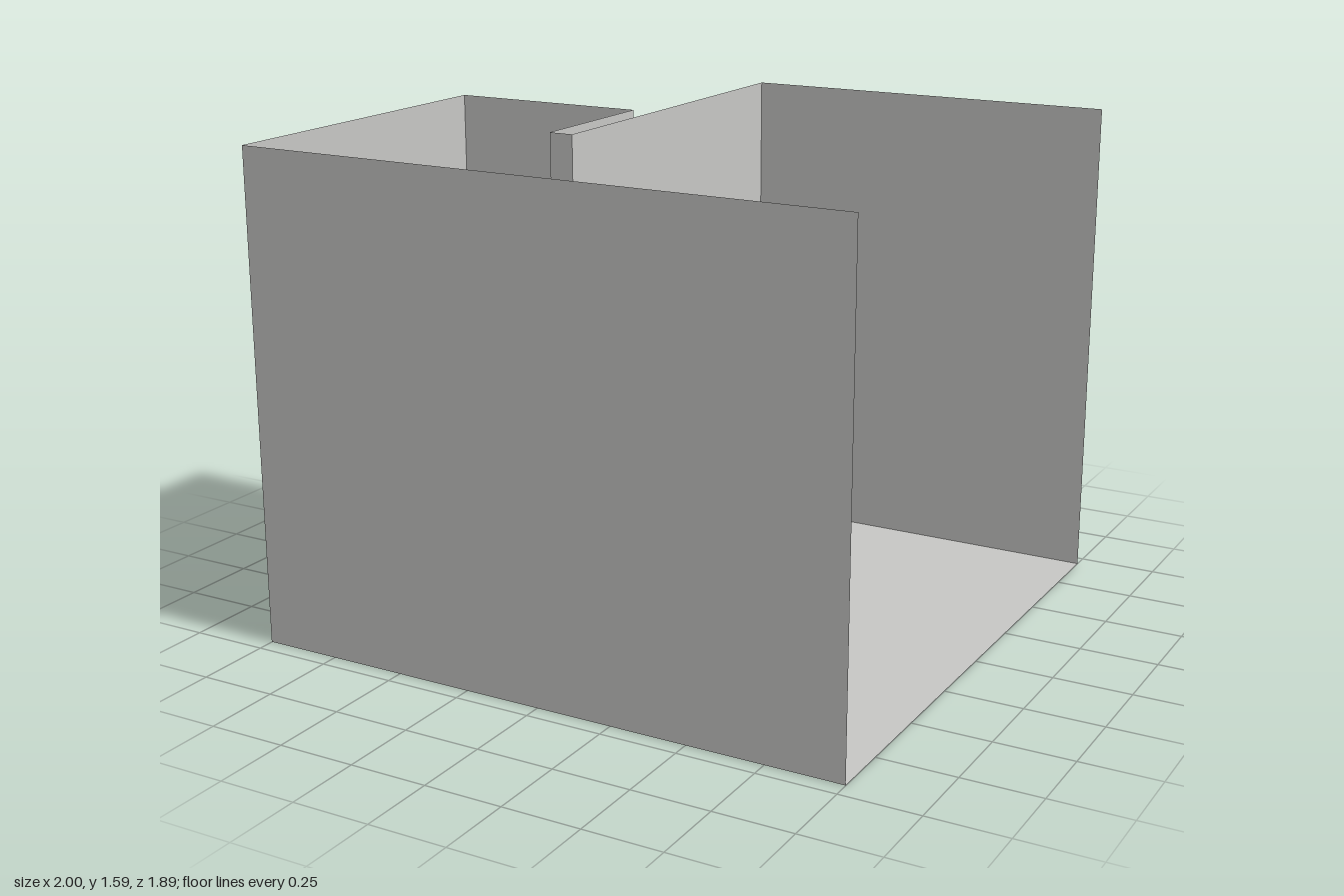
import * as THREE from 'three';
import { toCreasedNormals } from 'three/addons/utils/BufferGeometryUtils.js';

const plaster = new THREE.MeshStandardMaterial({ color: 0xc6c6c4, side: THREE.DoubleSide });
plaster.name = 'warm grey';

function add(parent, name, geometry, x = 0, y = 0, z = 0) {
  const mesh = new THREE.Mesh(geometry, plaster);
  mesh.name = name;
  mesh.position.set(x, y, z);
  parent.add(mesh);
  return mesh;
}

function group(parent, name) {
  const g = new THREE.Group();
  g.name = name;
  parent.add(g);
  return g;
}

// Round-ended outline: w = half width along x, l = half length along z
function stadium(w, l, Type = THREE.Shape) {
  const s = new Type();
  s.absarc(0, l - w, w, 0, Math.PI);
  s.absarc(0, w - l, w, Math.PI, Math.PI * 2);
  s.closePath();
  return s;
}

// Upright slab with a round-ended plan and an optional opening
function slab(w, l, height, hole) {
  const s = stadium(w, l);
  if (hole) s.holes.push(stadium(hole[0], hole[1], THREE.Path));
  const g = new THREE.ExtrudeGeometry(s, { depth: height, bevelEnabled: false, curveSegments: 16 });
  return toCreasedNormals(g.rotateX(-Math.PI / 2), 0.6);
}

// Thin round bar between two points
function rod(parent, name, a, b, r) {
  const from = new THREE.Vector3(...a), to = new THREE.Vector3(...b);
  const dir = to.clone().sub(from);
  const mesh = add(parent, name, new THREE.CylinderGeometry(r, r, dir.length(), 10));
  mesh.position.copy(from).add(to).multiplyScalar(0.5);
  mesh.quaternion.setFromUnitVectors(new THREE.Vector3(0, 1, 0), dir.normalize());
  return mesh;
}

// Bowl made of shrinking round-ended rings
function bowl(w, l, depth) {
  const outline = stadium(w, l).getSpacedPoints(48).slice(0, 48);
  const n = outline.length, rings = 10, pos = [], index = [];
  for (let k = 0; k <= rings; k++) {
    const t = (k / rings) * Math.PI / 2;
    const s = Math.max(Math.pow(Math.cos(t), 0.6), 0.001);
    for (const p of outline) pos.push(p.x * s, -depth * Math.sin(t), -p.y * s);
  }
  for (let k = 0; k < rings; k++) {
    for (let i = 0; i < n; i++) {
      const a = k * n + i, b = k * n + (i + 1) % n;
      index.push(a, a + n, b, b, a + n, b + n);
    }
  }
  const g = new THREE.BufferGeometry();
  g.setAttribute('position', new THREE.Float32BufferAttribute(pos, 3));
  g.setIndex(index);
  g.computeVertexNormals();
  return g;
}

export function createModel() {
  const model = new THREE.Group();
  model.name = 'bathroom';

  // Floor and single-sheet walls; the +x side and the top are open
  const H = 1.585;
  const plan = [[1, -0.945], [-0.25, -0.945], [-0.25, 0.31], [-0.33, 0.31],
    [-0.33, -0.19], [-1, -0.19], [-1, 0.945], [1, 0.945]];
  const floor = new THREE.Shape(plan.map(([x, z]) => new THREE.Vector2(x, -z)));
  add(model, 'floor', new THREE.ShapeGeometry(floor).rotateX(-Math.PI / 2));
  const walls = group(model, 'walls');
  for (let i = 0; i < plan.length - 1; i++) {
    const [x0, z0] = plan[i], [x1, z1] = plan[i + 1];
    const wall = add(walls, 'wall', new THREE.PlaneGeometry(Math.hypot(x1 - x0, z1 - z0), H),
      (x0 + x1) / 2, H / 2, (z0 + z1) / 2);
    wall.rotation.y = Math.atan2(z0 - z1, x1 - x0);
  }

  // Wall-hung vanity with vertical slats, counter and sunken basin
  const vanity = group(model, 'vanity');
  vanity.position.set(-0.16, 0, -0.294);
  const basin = [0.056, 0.096];
  add(vanity, 'vanityBody', slab(0.086, 0.2, 0.13, basin), 0, 0.14, 0);
  add(vanity, 'vanityBase', slab(0.086, 0.2, 0.005), 0, 0.14, 0);
  add(vanity, 'counter', slab(0.09, 0.204, 0.015, basin), 0, 0.27, 0);
  add(vanity, 'basin', bowl(basin[0], basin[1], 0.06), 0, 0.285, 0);
  const slat = new THREE.CylinderGeometry(0.0065, 0.0065, 0.13, 8);
  for (const p of stadium(0.084, 0.2).getSpacedPoints(72).slice(0, 72)) {
    add(vanity, 'slat', slat, p.x, 0.205, -p.y);
  }
  add(vanity, 'drain', new THREE.CylinderGeometry(0.005, 0.005, 0.004, 16), 0, 0.227, 0);

  // Tap
  const tap = group(vanity, 'tap');
  rod(tap, 'tapStem', [-0.072, 0.285, 0], [-0.072, 0.335, 0], 0.006);
  rod(tap, 'tapSpout', [-0.075, 0.325, 0], [-0.035, 0.322, 0], 0.004);
  rod(tap, 'tapLever', [-0.072, 0.335, 0], [-0.082, 0.342, 0], 0.003);

  // Round mirror lying almost flush on the wall
  add(model, 'mirror', new THREE.CylinderGeometry(0.137, 0.137, 0.003, 64).rotateZ(Math.PI / 2),
    -0.2485, 0.505, -0.29);

  // Tall wall cabinet with a raised rim
  const cabinet = group(model, 'cabinet');
  cabinet.position.set(-0.219, 0.14, -0.65);
  add(cabinet, 'cabinetBody', slab(0.031, 0.064, 0.278));
  add(cabinet, 'cabinetRim', slab(0.031, 0.064, 0.007, [0.022, 0.055]), 0, 0.278, 0);

  // Tripod lamp with a bent arm, counterweight rod and dome shade
  const lamp = group(model, 'lamp');
  lamp.position.x = 0.123;
  const hub = [0, 0.193, 0.133], elbow = [0, 0.455, 0.262], neck = [0, 0.552, 0.177];
  for (const foot of [[-0.073, 0, 0.089], [0.073, 0, 0.089], [0, 0, 0.214]]) {
    rod(lamp, 'leg', hub, foot, 0.0025);
  }
  rod(lamp, 'lowerArm', hub, elbow, 0.0025);
  rod(lamp, 'upperArm', elbow, neck, 0.0025);
  rod(lamp, 'upright', hub, [0, 0.4, 0.133], 0.0025);
  add(lamp, 'hub', new THREE.SphereGeometry(0.006, 12, 8), ...hub);
  add(lamp, 'knob', new THREE.SphereGeometry(0.009, 16, 12), 0, 0.405, 0.133);
  const profile = [];
  for (let i = 0; i <= 8; i++) {
    const t = (i / 8) * Math.PI / 2;
    profile.push(new THREE.Vector2(0.071 * Math.cos(t), 0.035 * Math.sin(t)));
  }
  const shade = add(lamp, 'shade', new THREE.LatheGeometry(profile, 32), 0, 0.527, 0.152);
  shade.rotation.x = Math.PI / 4;
  return model;
}
